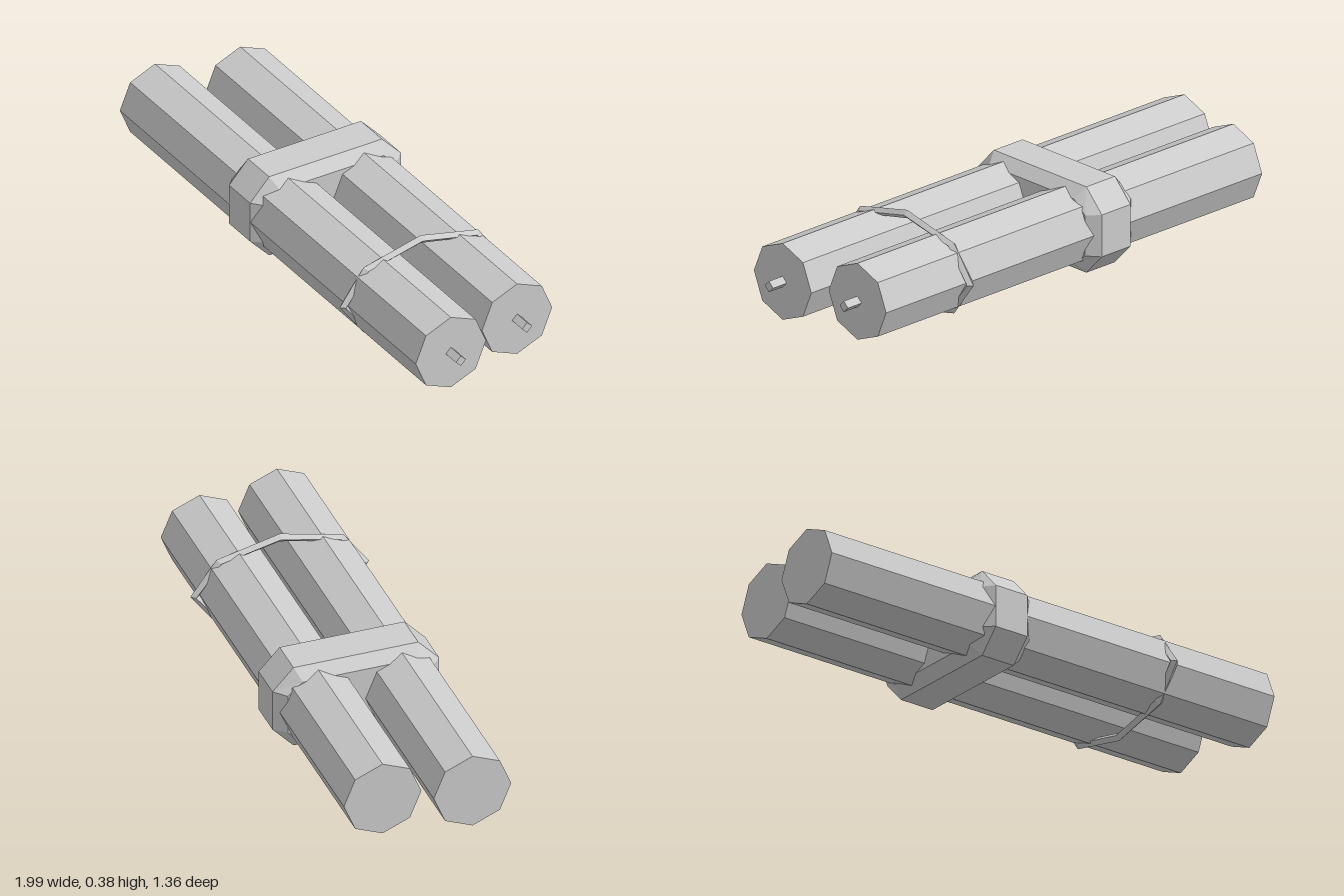
import * as THREE from 'three';

const grey = new THREE.MeshStandardMaterial({ color: 0xcccccc, flatShading: true });
grey.name = 'plain grey';

// Skin a list of rings; each ring is { x, pts: [[z, y], ...] }, ordered so the outside faces out
function skin(rings) {
  const pos = [];
  const put = (ring, j) => {
    const [z, y] = ring.pts[j % ring.pts.length];
    pos.push(ring.x, y, z);
  };
  for (let i = 0; i < rings.length - 1; i++) {
    const a = rings[i], b = rings[i + 1];
    for (let j = 0; j < a.pts.length; j++) {
      put(a, j); put(b, j); put(b, j + 1);
      put(a, j); put(b, j + 1); put(a, j + 1);
    }
  }
  const geo = new THREE.BufferGeometry();
  geo.setAttribute('position', new THREE.Float32BufferAttribute(pos, 3));
  geo.computeVertexNormals();
  return geo;
}

// Rectangle with cut corners: half sizes and half lengths of the flat sides
const cutRect = (hz, hy, fz, fy) => [
  [hz, -fy], [hz, fy], [fz, hy], [-fz, hy],
  [-hz, fy], [-hz, -fy], [-fz, -hy], [fz, -hy],
];

// Stretched octagon
const ovalOct = (rz, ry) => Array.from({ length: 8 }, (_, k) => {
  const a = (k * Math.PI) / 4;
  return [rz * Math.cos(a), ry * Math.sin(a)];
});

export function createModel() {
  const model = new THREE.Group();
  model.name = 'bundledTubes';

  const bundle = new THREE.Group();
  bundle.name = 'bundle';
  bundle.position.y = 0.191;
  bundle.rotation.y = THREE.MathUtils.degToRad(-25);
  model.add(bundle);

  const add = (name, geo, x, z) => {
    const mesh = new THREE.Mesh(geo, grey);
    mesh.name = name;
    mesh.position.set(x, 0, z);
    bundle.add(mesh);
  };
  // Prism lying along x from x0 to x1
  const rod = (name, r, sides, x0, x1, z) => add(
    name,
    new THREE.CylinderGeometry(r, r, x1 - x0, sides).rotateZ(-Math.PI / 2),
    (x0 + x1) / 2, z,
  );

  // Two eight-sided tubes, each with a short four-sided pin in its end
  const tubes = [
    { name: 'back', x0: -0.907, x1: 0.937, z: -0.18 },
    { name: 'front', x0: -0.971, x1: 1.0, z: 0.135 },
  ];
  for (const t of tubes) {
    rod(t.name + 'Tube', 0.146, 8, t.x0, t.x1, t.z);
    rod(t.name + 'Pin', 0.021, 4, t.x1 - 0.05, t.x1 + 0.067, t.z);
  }

  // Thick clamp with bevelled rims
  const outer = cutRect(0.314, 0.164, 0.235, 0.08);
  const rim = cutRect(0.272, 0.124, 0.215, 0.077);
  const centre = cutRect(0, 0, 0, 0);
  add('clamp', skin([
    { x: -0.112, pts: centre },
    { x: -0.112, pts: rim },
    { x: -0.07, pts: outer },
    { x: 0.07, pts: outer },
    { x: 0.112, pts: rim },
    { x: 0.112, pts: centre },
  ]), -0.172, -0.032);

  // Thin strap with a diamond section
  const mid = ovalOct(0.32, 0.174);
  const inside = ovalOct(0.303, 0.158);
  add('strap', skin([
    { x: 0, pts: inside },
    { x: -0.016, pts: mid },
    { x: 0, pts: ovalOct(0.337, 0.19) },
    { x: 0.016, pts: mid },
    { x: 0, pts: inside },
  ]), 0.543, -0.025);

  return model;
}
